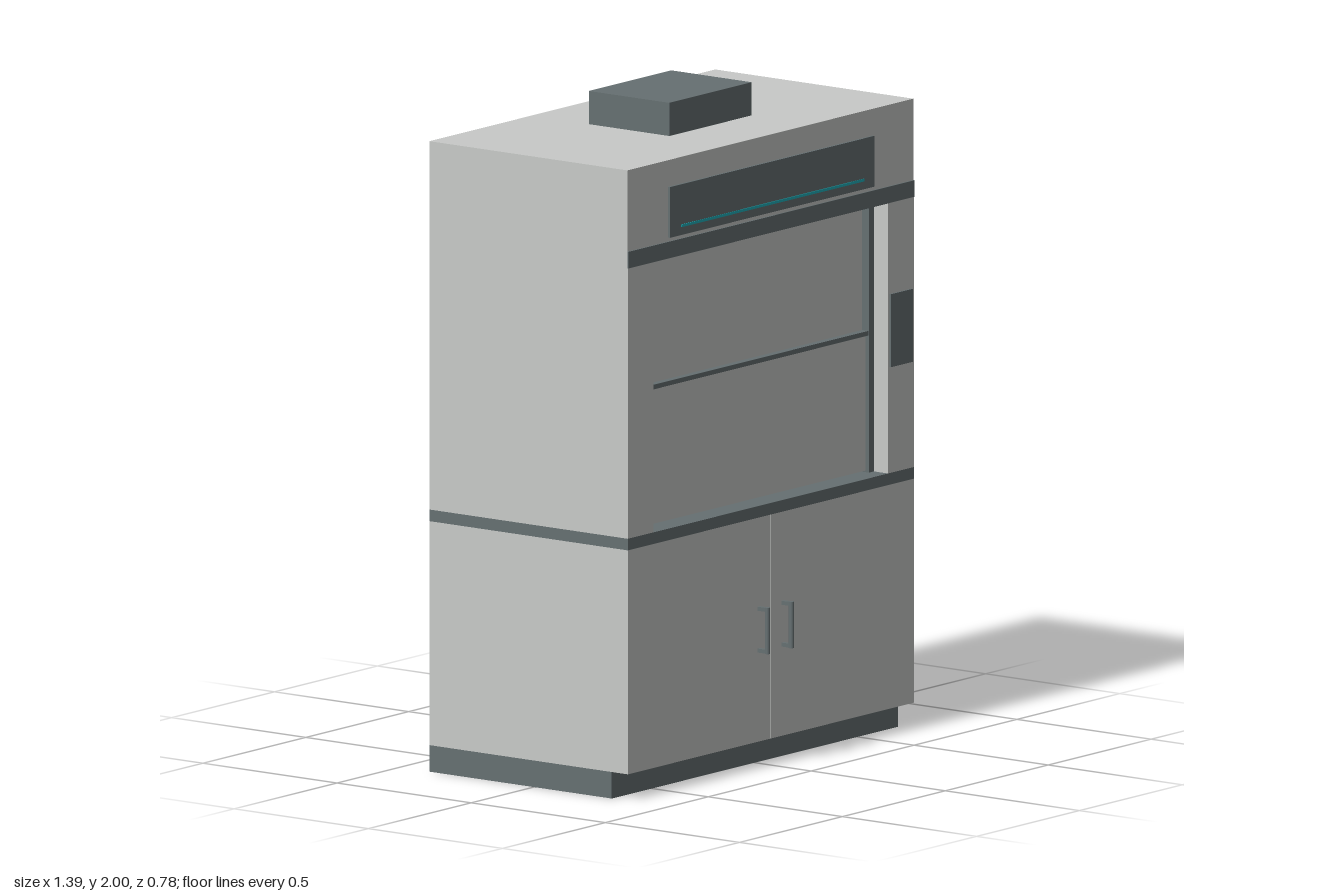
import * as THREE from 'three';

export function createModel() {
  const model = new THREE.Group();
  model.name = 'fumeHood';
  const mat = (name, color) => {
    const m = new THREE.MeshStandardMaterial({ color });
    m.name = name;
    return m;
  };
  const light = mat('light grey', 0xc8cac8);
  const dark = mat('slate grey', 0x667072);
  const cyan = mat('cyan', 0x1fb0ba);

  // Box given by its limits on each axis
  const box = (name, m, x0, x1, y0, y1, z0, z1, parent = model) => {
    const mesh = new THREE.Mesh(new THREE.BoxGeometry(x1 - x0, y1 - y0, z1 - z0), m);
    mesh.position.set((x0 + x1) / 2, (y0 + y1) / 2, (z0 + z1) / 2);
    mesh.name = name;
    parent.add(mesh);
    return mesh;
  };

  const W = 0.695, BACK = -0.39, FRONT = 0.35;

  // Base, worktop, header and exhaust duct
  box('plinth', dark, -W, W, 0, 0.08, BACK, 0.29);
  box('worktop', dark, -W, W, 0.755, 0.79, BACK, FRONT);
  box('header', light, -W, W, 1.605, 1.9, BACK, 0.348);
  box('exhaustDuct', dark, -0.2, 0.2, 1.9, 2, -0.175, 0.125);

  // Header trim and display
  box('headerTrim', dark, -W, W, 1.605, 1.655, 0.348, 0.353);
  box('displayPanel', dark, -0.498, 0.495, 1.667, 1.82, 0.348, 0.356);
  box('displayLine', cyan, -0.445, 0.445, 1.691, 1.699, 0.356, 0.358);

  // Chamber behind the sash
  box('chamber', light, -0.57, 0.57, 0.79, 1.605, BACK, 0.265);

  for (const s of [-1, 1]) {
    const span = (a, b) => (s > 0 ? [a, b] : [-b, -a]);
    box('cabinetHalf', light, ...span(0.001, W), 0.08, 0.755, BACK, FRONT);
    box('sidePillar', light, ...span(0.57, W), 0.79, 1.605, BACK, FRONT);
    box('sashRail', dark, ...span(0.545, 0.57), 0.79, 1.605, 0.265, 0.297);

    // Door handle: upright bar on two stand-offs
    const handle = new THREE.Group();
    handle.name = 'doorHandle';
    handle.position.x = s * 0.058;
    const bar = new THREE.Mesh(new THREE.CylinderGeometry(0.008, 0.008, 0.14, 16), dark);
    bar.name = 'handleBar';
    bar.position.set(0, 0.418, 0.382);
    handle.add(bar);
    for (const y of [0.355, 0.481])
      box('handleStandoff', dark, -0.006, 0.006, y - 0.006, y + 0.006, FRONT, 0.382, handle);
    model.add(handle);
  }

  // Sliding sash panes and their meeting rail
  box('upperSash', light, -0.545, 0.545, 1.21, 1.605, 0.265, 0.272);
  box('lowerSash', light, -0.545, 0.545, 0.795, 1.21, 0.265, 0.285);
  box('meetingRail', dark, -0.545, 0.545, 1.203, 1.217, 0.265, 0.295);

  // Control box on the left pillar
  box('controlPanel', dark, 0.576, 0.682, 1.11, 1.33, FRONT, 0.356);

  return model;
}
